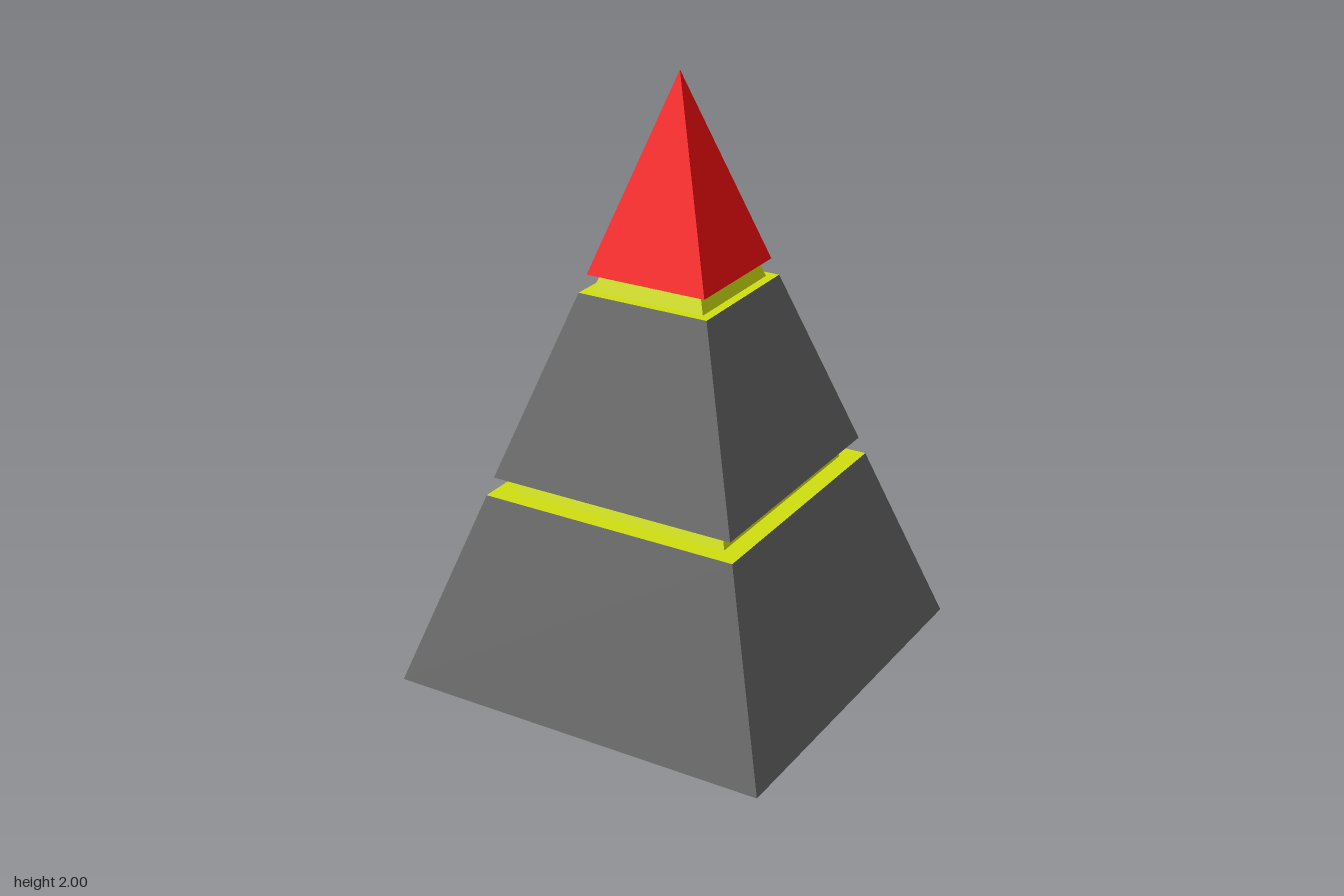
import * as THREE from 'three';

const paint = (color) => new THREE.MeshStandardMaterial({ color, flatShading: true });

// Square frustum given by its half-widths and heights; sides only when open
function frustum(name, material, y0, half0, y1, half1, open) {
  const geo = new THREE.CylinderGeometry(half1 * Math.SQRT2, half0 * Math.SQRT2, y1 - y0, 4, 1, open);
  geo.rotateY(Math.PI / 4);
  geo.translate(0, (y0 + y1) / 2, 0);
  const mesh = new THREE.Mesh(geo, material);
  mesh.name = name;
  return mesh;
}

// Flat square face looking up (dir 1) or down (dir -1)
function cap(name, material, y, half, dir) {
  const geo = new THREE.PlaneGeometry(half * 2, half * 2);
  geo.rotateX(-dir * Math.PI / 2);
  geo.translate(0, y, 0);
  const mesh = new THREE.Mesh(geo, material);
  mesh.name = name;
  return mesh;
}

export function createModel() {
  const model = new THREE.Group();
  model.name = 'tieredPyramid';
  const grey = paint(0x666666);
  const red = paint(0xf80f0f);
  const yellow = paint(0xd0de10);

  // Tiers: sloped sides with yellow faces towards the gaps
  const tiers = [
    { name: 'baseTier', mat: grey, under: grey, y0: 0, h0: 0.665, y1: 0.64, h1: 0.453 },
    { name: 'middleTier', mat: grey, under: yellow, y0: 0.7, h0: 0.435, y1: 1.307, h1: 0.231 },
    { name: 'tipTier', mat: red, under: yellow, y0: 1.365, h0: 0.212, y1: 2, h1: 0 },
  ];
  for (const t of tiers) {
    const group = new THREE.Group();
    group.name = t.name;
    group.add(frustum(t.name + 'Sides', t.mat, t.y0, t.h0, t.y1, t.h1, true));
    group.add(cap(t.name + 'Underside', t.under, t.y0, t.h0, -1));
    if (t.h1 > 0) group.add(cap(t.name + 'Top', yellow, t.y1, t.h1, 1));
    model.add(group);
  }

  // Recessed necks joining the tiers
  model.add(frustum('lowerNeck', yellow, 0.64, 0.389, 0.7, 0.369, true));
  model.add(frustum('upperNeck', yellow, 1.307, 0.2, 1.365, 0.18, true));
  return model;
}
